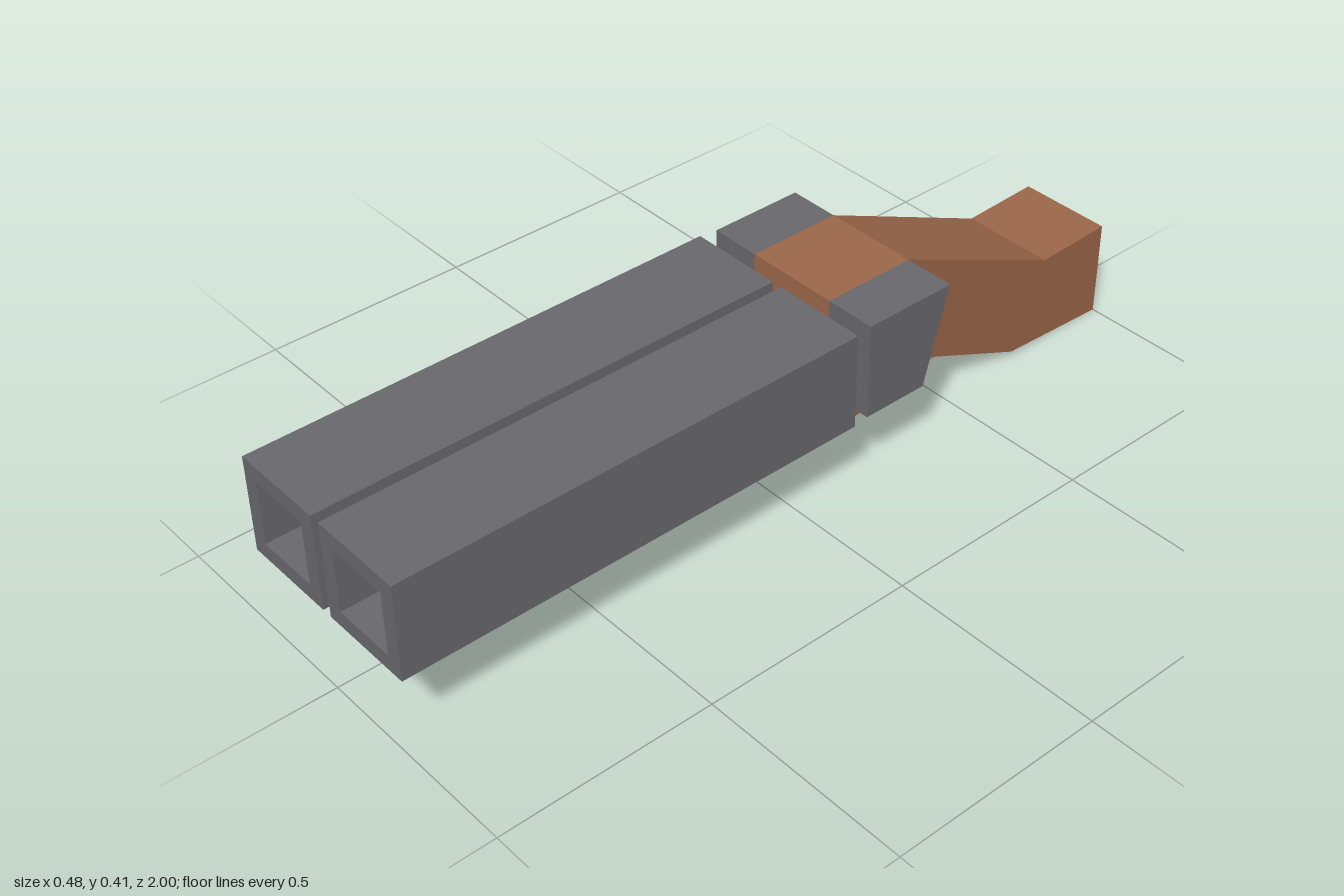
import * as THREE from 'three';

const steel = new THREE.MeshStandardMaterial({ color: 0x68676c, flatShading: true });
const wood = new THREE.MeshStandardMaterial({ color: 0x9a6649, flatShading: true });

// Extrude a side profile of [z, y] points across x, centred on x = cx.
function sideProfile(name, points, width, cx, material) {
  const shape = new THREE.Shape(points.map(([z, y]) => new THREE.Vector2(z, y)));
  const geometry = new THREE.ExtrudeGeometry(shape, { depth: width, bevelEnabled: false });
  geometry.translate(0, 0, -width / 2).rotateY(-Math.PI / 2).translate(cx, 0, 0);
  const mesh = new THREE.Mesh(geometry, material);
  mesh.name = name;
  return mesh;
}

const rectangle = (Type, w, h) => new Type([
  new THREE.Vector2(-w / 2, -h / 2), new THREE.Vector2(w / 2, -h / 2),
  new THREE.Vector2(w / 2, h / 2), new THREE.Vector2(-w / 2, h / 2),
]);

// Square tube, open at both ends.
function makeBarrel(name, x) {
  const shape = rectangle(THREE.Shape, 0.226, 0.226);
  shape.holes.push(rectangle(THREE.Path, 0.151, 0.151));
  const geometry = new THREE.ExtrudeGeometry(shape, { depth: 1.112, bevelEnabled: false });
  const mesh = new THREE.Mesh(geometry, steel);
  mesh.position.set(x, 0.302, -0.112);
  mesh.name = name;
  return mesh;
}

export function createModel() {
  const model = new THREE.Group();
  model.name = 'doubleBarrelGun';

  // Paired barrels and the receiver cheeks behind them
  for (const [side, s] of [['left', 1], ['right', -1]]) {
    model.add(makeBarrel(side + 'Barrel', s * 0.1255));
    model.add(sideProfile(side + 'ReceiverCheek', [
      [-0.152, 0.189], [-0.152, 0.415], [-0.376, 0.415], [-0.312, 0.189],
    ], 0.12, s * 0.1725, steel));
  }

  // Rib joining the barrels
  const rib = new THREE.Mesh(new THREE.BoxGeometry(0.025, 0.151, 1.067), steel);
  rib.position.set(0, 0.302, 0.444);
  rib.name = 'barrelRib';
  model.add(rib);

  // Stock, running from the breech face down to the butt
  model.add(sideProfile('stock', [
    [-0.152, 0.189], [-0.152, 0.415], [-0.376, 0.415], [-0.812, 0.22],
    [-1, 0.228], [-1, 0], [-0.725, 0.012], [-0.312, 0.189],
  ], 0.225, 0, wood));

  // Fore-end under the barrels, with a slanted nose
  model.add(sideProfile('foreEnd', [
    [0.555, 0.189], [-0.31, 0.189], [-0.31, 0.079], [0.447, 0.079],
  ], 0.225, 0, wood));

  return model;
}
